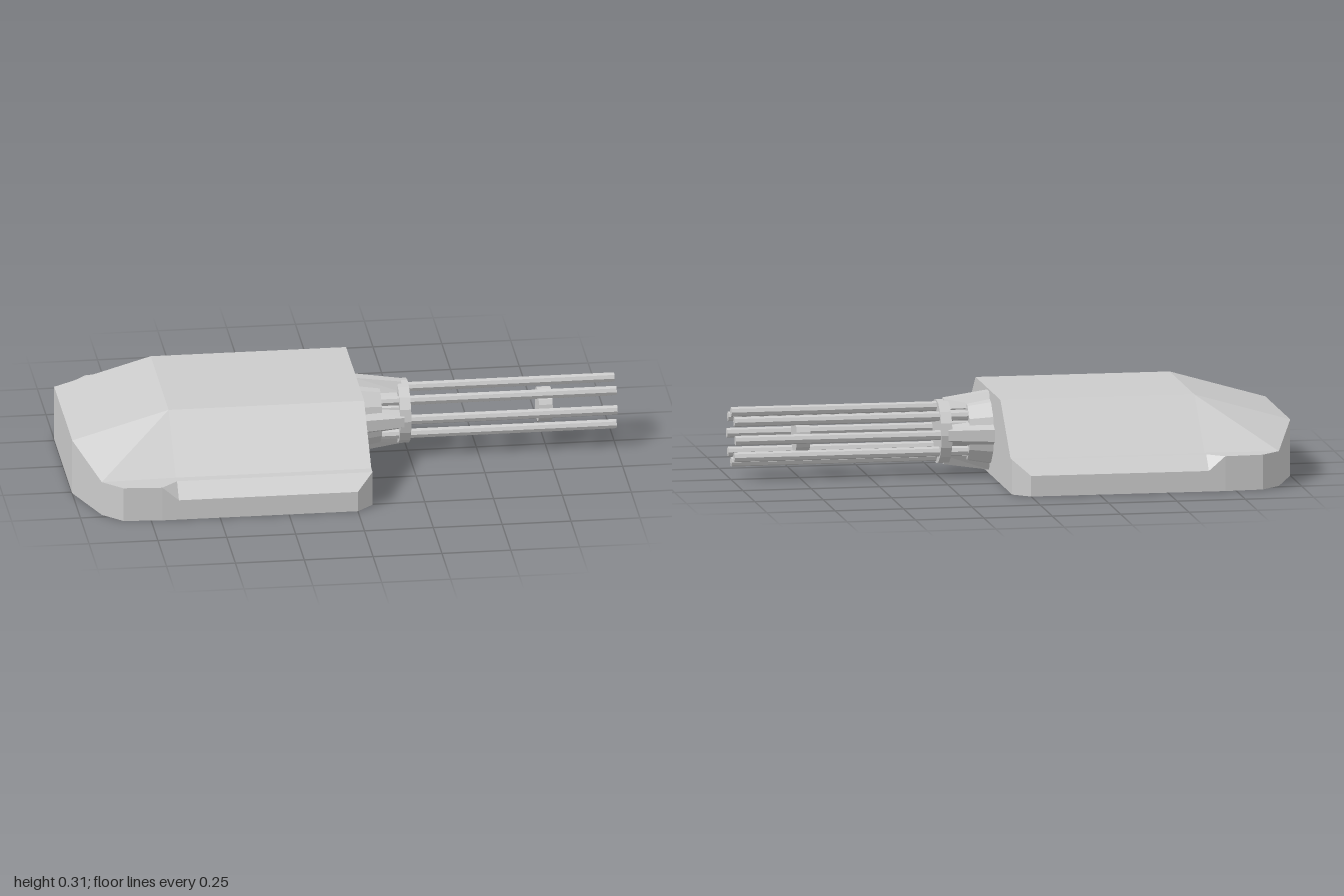
import * as THREE from 'three';

const grey = new THREE.MeshStandardMaterial({ color: 0xcccccc, flatShading: true });
const AXIS_Y = 0.156;

// Flat polygons fanned into triangles, each turned away from an inner point
function facetedGeometry(polygons, inside) {
  const positions = [];
  for (const polygon of polygons) {
    const pts = polygon.map((p) => new THREE.Vector3(...p));
    for (let i = 1; i < pts.length - 1; i++) {
      const tri = new THREE.Triangle(pts[0], pts[i], pts[i + 1]);
      const normal = tri.getNormal(new THREE.Vector3());
      const out = tri.getMidpoint(new THREE.Vector3()).sub(inside);
      const order = normal.dot(out) > 0 ? [tri.a, tri.b, tri.c] : [tri.a, tri.c, tri.b];
      order.forEach((v) => positions.push(v.x, v.y, v.z));
    }
  }
  const geometry = new THREE.BufferGeometry();
  geometry.setAttribute('position', new THREE.Float32BufferAttribute(positions, 3));
  geometry.computeVertexNormals();
  return geometry;
}

function addMesh(parent, name, geometry) {
  const mesh = new THREE.Mesh(geometry, grey);
  mesh.name = name;
  parent.add(mesh);
  return mesh;
}

// Cylinder along x, from x0 (radius r0) to x1 (radius r1)
function axial(x0, x1, r0, r1, sides) {
  return new THREE.CylinderGeometry(r1, r0, x1 - x0, sides)
    .rotateZ(-Math.PI / 2)
    .translate((x0 + x1) / 2, 0, 0);
}

function housingGeometry() {
  const TOP = 0.306, BACK = 0.205, RIM = 0.127, LOW = 0.075;
  const polygons = [];
  // Outline of the base on one side, from the back to the muzzle end
  const base = [[-1, 0.26], [-0.92, 0.48], [-0.85, 0.548], [-0.71, 0.56], [-0.65, 0.56], [0, 0.56], [0.06, 0.505]];
  const rimY = [BACK, RIM, RIM, RIM, LOW, LOW, RIM];
  for (const s of [1, -1]) {
    const side = [
      // sloping upper panels
      [[-0.65, TOP, 0.26], [0.06, TOP, 0.26], [0.06, RIM, 0.47], [-0.65, RIM, 0.47]],
      [[-0.65, TOP, 0.26], [-1, BACK, 0.26], [-0.92, RIM, 0.48], [-0.65, RIM, 0.47]],
      // flat ledge
      [[-0.65, RIM, 0.47], [0.06, RIM, 0.47], [0.06, RIM, 0.505], [-0.65, RIM, 0.505]],
      [[-0.65, RIM, 0.505], [-0.71, RIM, 0.56], [-0.85, RIM, 0.548], [-0.92, RIM, 0.48], [-0.65, RIM, 0.47]],
      // bevelled rim and its end notch
      [[-0.65, RIM, 0.505], [0.06, RIM, 0.505], [0, LOW, 0.56], [-0.65, LOW, 0.56]],
      [[-0.71, RIM, 0.56], [-0.65, LOW, 0.56], [-0.65, RIM, 0.505]],
      // half of the muzzle-end wall
      [[0.06, 0, 0], [0.06, 0, 0.505], [0.06, RIM, 0.505], [0.06, RIM, 0.47], [0.06, TOP, 0.26], [0.06, TOP, 0]],
      // half of the underside
      [[-0.4, 0, 0], [-1, 0, 0], ...base.map(([x, z]) => [x, 0, z]), [0.06, 0, 0]],
    ];
    for (let i = 0; i < base.length - 1; i++) {
      const [[x0, z0], [x1, z1]] = [base[i], base[i + 1]];
      side.push([[x0, 0, z0], [x1, 0, z1], [x1, rimY[i + 1], z1], [x0, rimY[i], z0]]);
    }
    polygons.push(...side.map((poly) => poly.map(([x, y, z]) => [x, y, z * s])));
  }
  // roof, sloping roof and back wall
  const across = (x0, y0, x1, y1) => [[x0, y0, 0.26], [x1, y1, 0.26], [x1, y1, -0.26], [x0, y0, -0.26]];
  polygons.push(across(-0.65, TOP, 0.06, TOP), across(-1, BACK, -0.65, TOP), across(-1, 0, -1, BACK));
  return facetedGeometry(polygons, new THREE.Vector3(-0.4, 0.06, 0));
}

// Tapered rib with a trapezoid section, widest at the housing
function ribGeometry() {
  const section = (x, low, high, wide, narrow) => [
    [x, low, -wide], [x, high, -narrow], [x, high, narrow], [x, low, wide],
  ];
  const a = section(0.06, 0.09, 0.143, 0.052, 0.022);
  const b = section(0.225, 0.085, 0.119, 0.034, 0.018);
  const polygons = [a, b];
  for (let i = 0; i < 4; i++) {
    const j = (i + 1) % 4;
    polygons.push([a[i], a[j], b[j], b[i]]);
  }
  return facetedGeometry(polygons, new THREE.Vector3(0.14, 0.105, 0));
}

export function createModel() {
  const model = new THREE.Group();
  model.name = 'turret';
  addMesh(model, 'housing', housingGeometry());

  const gun = new THREE.Group();
  gun.name = 'rotaryGun';
  gun.position.y = AXIS_Y;
  model.add(gun);

  // Hub: collar, recessed core and front ring, bridged by four ribs
  addMesh(gun, 'hubCollar', axial(0.06, 0.145, 0.127, 0.112, 12));
  addMesh(gun, 'hubCore', axial(0.14, 0.22, 0.08, 0.08, 12));
  addMesh(gun, 'hubRing', axial(0.21, 0.25, 0.117, 0.117, 16));
  const rib = ribGeometry();
  for (let i = 0; i < 4; i++) addMesh(gun, 'hubRib', rib).rotation.x = (i * Math.PI) / 2;

  // Eight barrels in a circle, held by a spacer disc
  const barrel = axial(0.14, 1, 0.018, 0.018, 8);
  for (let i = 0; i < 8; i++) {
    const angle = (i * Math.PI) / 4;
    addMesh(gun, 'barrel', barrel).position.set(0, 0.091 * Math.cos(angle), 0.091 * Math.sin(angle));
  }
  addMesh(gun, 'barrelSpacer', axial(0.72, 0.77, 0.063, 0.063, 20));
  return model;
}
